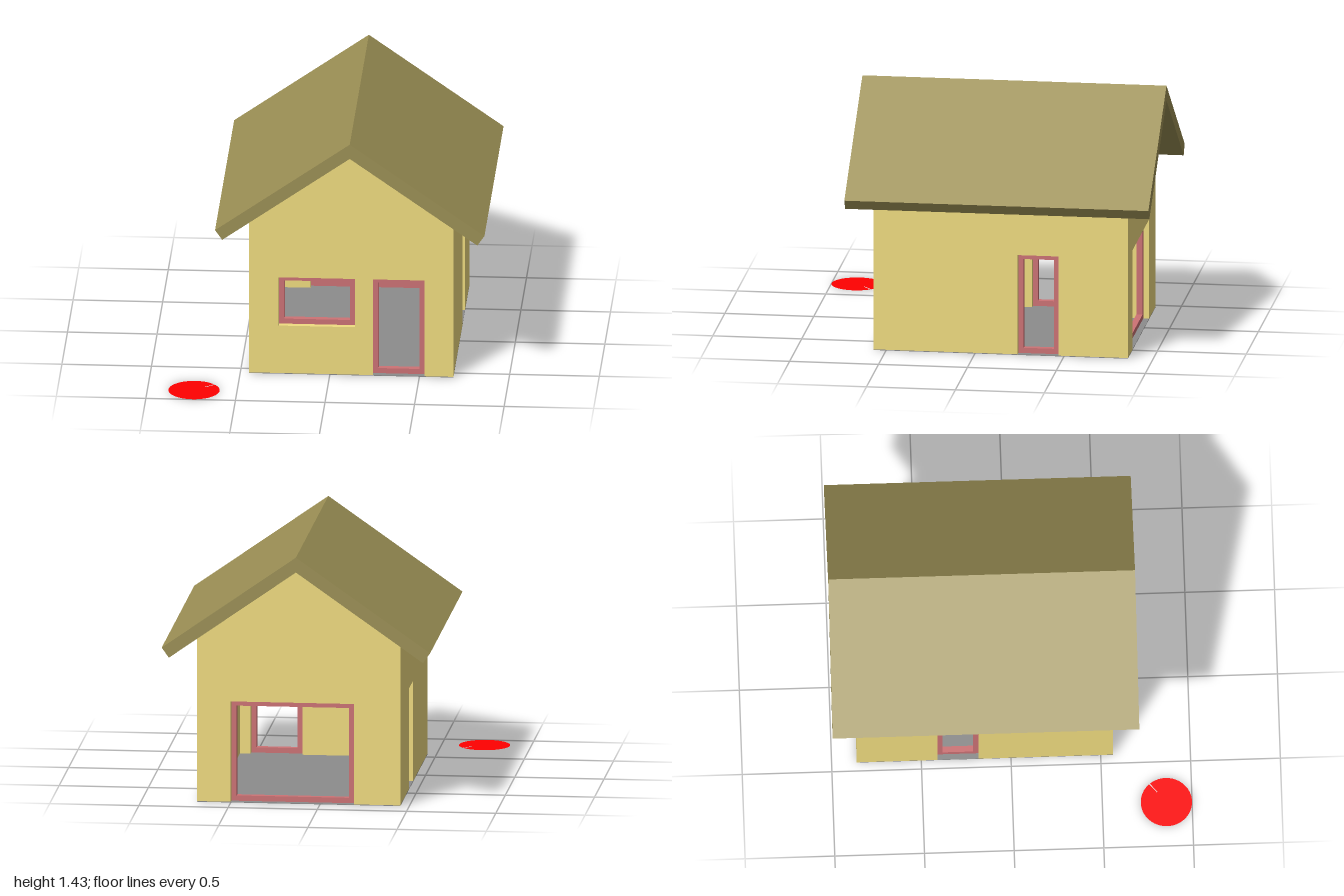
import * as THREE from 'three';

// Overall sizes
const X0 = -0.45, X1 = 0.69, Z0 = -0.86, Z1 = 0.57;
const MID = 0.12, T = 0.1, BASE = 0.004, FRAME = 0.03;
const EAVE = 0.944, PEAK = 1.345, SLOPE = (PEAK - EAVE) / (MID - X0);

const paint = (color) => new THREE.MeshStandardMaterial({ color });
const wallMat = paint(0xf0dc80);
const roofMat = paint(0x9c9055);
const frameMat = paint(0xcd7275);
const floorMat = paint(0x8c8c8c);
const discMat = paint(0xff0000);
const needleMat = paint(0xf0e0e0);
discMat.side = THREE.DoubleSide;

function polygon(points) {
  return new THREE.Shape(points.map(([x, y]) => new THREE.Vector2(x, y)));
}

function rectangle(a, b, c, d) {
  return polygon([[a, c], [b, c], [b, d], [a, d]]);
}

function extrude(shape, depth) {
  return new THREE.ExtrudeGeometry(shape, { depth, bevelEnabled: false });
}

function addMesh(parent, name, geometry, material) {
  const mesh = new THREE.Mesh(geometry, material);
  mesh.name = name;
  parent.add(mesh);
  return mesh;
}

// A wall from u0 to u1 with a top outline; openings are [name, left, right, bottom, top].
// Openings that reach the ground become notches, the others holes.
function makeWall(name, u0, u1, topPoints, openings) {
  const group = new THREE.Group();
  group.name = name;
  const outline = [[u0, BASE]];
  const holes = [];
  for (const [, a, b, c, d] of openings) {
    if (c <= BASE) outline.push([a, BASE], [a, d], [b, d], [b, BASE]);
    else holes.push(rectangle(a, b, c, d));
  }
  outline.push([u1, BASE], ...topPoints);
  const shape = polygon(outline);
  shape.holes.push(...holes);
  addMesh(group, name + 'Panel', extrude(shape, T), wallMat);

  // Frames sit recessed in the middle of the wall thickness
  for (const [label, a, b, c, d] of openings) {
    const frame = rectangle(a, b, c, d);
    frame.holes.push(rectangle(a + FRAME, b - FRAME, c + FRAME, d - FRAME));
    const depth = 0.035;
    addMesh(group, label, extrude(frame, depth), frameMat).position.z = (T - depth) / 2;
  }
  return group;
}

// Side walls run along z; their inner top edge rises to meet the roof slope
function makeSideWall(name, x, innerDepth, opening) {
  const u0 = -Z1 + T, u1 = -Z0 - T;
  const wall = makeWall(name, u0, u1, [[u1, EAVE], [u0, EAVE]], [opening]);
  const geometry = wall.children[0].geometry;
  const p = geometry.attributes.position;
  for (let i = 0; i < p.count; i++) {
    if (p.getY(i) > EAVE - 0.001 && Math.abs(p.getZ(i) - innerDepth) < 0.001) {
      p.setY(i, EAVE + SLOPE * T);
    }
  }
  geometry.computeVertexNormals();
  wall.rotation.y = Math.PI / 2;
  wall.position.x = x;
  return wall;
}

export function createModel() {
  const house = new THREE.Group();
  house.name = 'house';

  // Floor slab under the whole footprint
  const floor = addMesh(house, 'floor', new THREE.BoxGeometry(X1 - X0, BASE, Z1 - Z0), floorMat);
  floor.position.set(MID, BASE / 2, (Z0 + Z1) / 2);

  // Gable walls
  const gable = [[X1, EAVE], [MID, PEAK], [X0, EAVE]];
  const front = makeWall('frontWall', X0, X1, gable, [
    ['frontWindowFrame', -0.285, 0.14, 0.287, 0.575],
    ['frontDoorFrame', 0.24, 0.53, BASE, 0.575],
  ]);
  front.position.z = Z1 - T;
  const back = makeWall('backWall', X0, X1, gable, [
    ['backDoorFrame', -0.19, 0.5, BASE, 0.575],
  ]);
  back.position.z = Z0;
  house.add(front, back);

  // Side walls
  house.add(
    makeSideWall('leftWall', X1 - T, 0, ['leftDoorFrame', 0.24, 0.47, BASE, 0.575]),
    makeSideWall('rightWall', X0, T, ['rightDoorFrame', 0.18, 0.41, BASE, 0.575]),
  );

  // Two mirrored roof slabs meeting at the ridge
  const roof = new THREE.Group();
  roof.name = 'roof';
  for (const side of [1, -1]) {
    const points = [[0, PEAK], [0.712, 0.845], [0.752, 0.902], [0, 1.43]];
    const slab = polygon(points.map(([x, y]) => [MID + side * x, y]));
    addMesh(roof, side > 0 ? 'leftRoofSlab' : 'rightRoofSlab', extrude(slab, 1.71), roofMat);
  }
  roof.position.z = -1;
  house.add(roof);

  // Flat red disc on the ground with a thin pointer
  const disc = new THREE.Group();
  disc.name = 'groundDisc';
  const plate = addMesh(disc, 'discPlate', new THREE.CircleGeometry(0.143, 48), discMat);
  plate.rotation.x = -Math.PI / 2;
  const needle = addMesh(disc, 'discPointer', new THREE.BoxGeometry(0.065, 0.001, 0.005), needleMat);
  needle.rotation.y = 0.7;
  needle.position.set(0.085, 0.001, -0.07);
  disc.position.set(-0.74, 0.001, 0.857);
  house.add(disc);

  return house;
}
